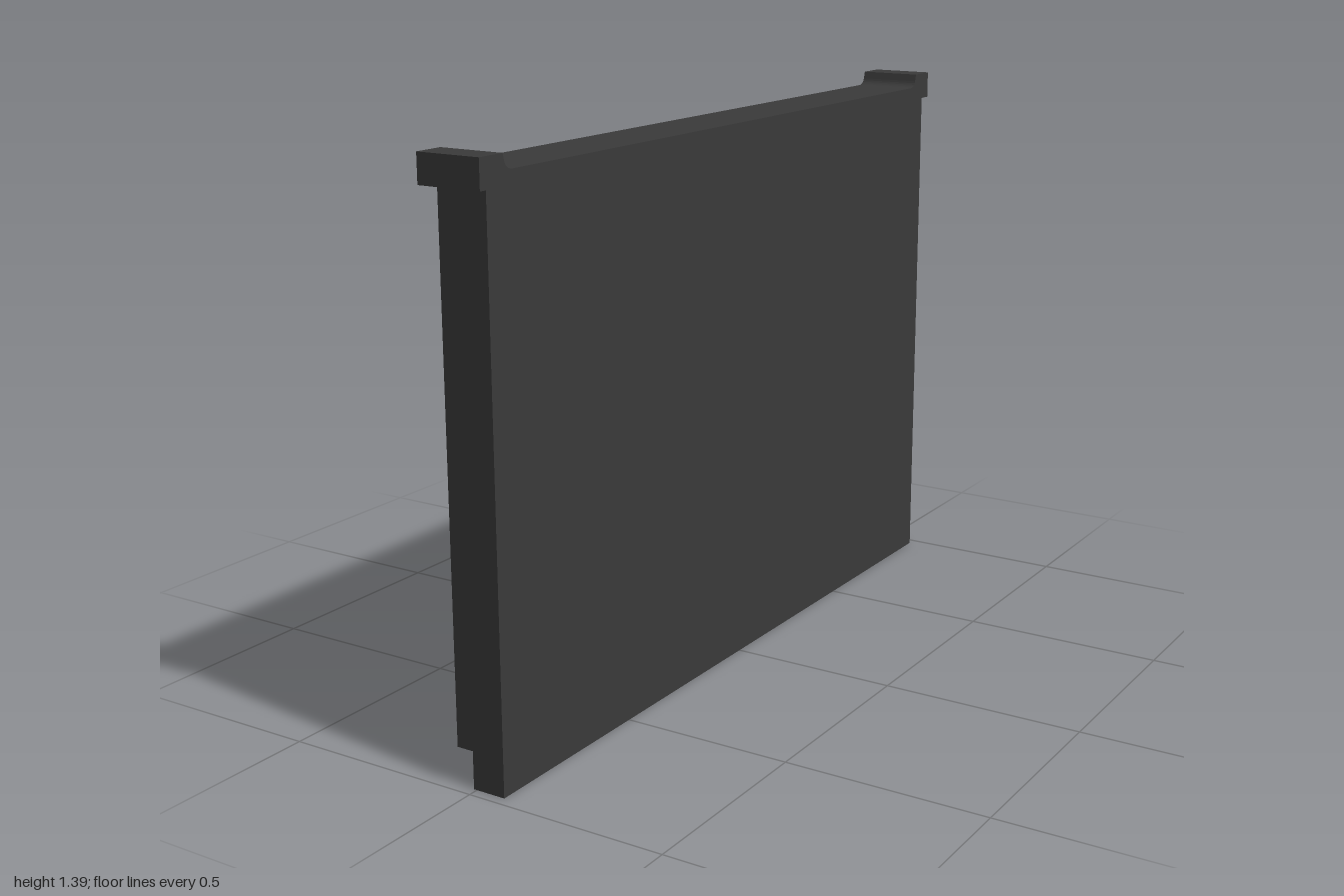
import * as THREE from 'three';

const mat = new THREE.MeshStandardMaterial({ color: 0x3a3a3a, flatShading: true });

export function createModel() {
  const root = new THREE.Group();
  root.name = 'wallCabinet';

  const add = (geo, name) => {
    const m = new THREE.Mesh(geo, mat);
    m.name = name;
    root.add(m);
    return m;
  };
  // Box given by its minimum and maximum on each axis
  const box = (name, x0, x1, y0, y1, z0, z1) =>
    add(new THREE.BoxGeometry(x1 - x0, y1 - y0, z1 - z0), name)
      .position.set((x0 + x1) / 2, (y0 + y1) / 2, (z0 + z1) / 2);
  // Profile in x/y, extruded along z and centred on z
  const plate = (name, shape, z, thick) => {
    const geo = new THREE.ExtrudeGeometry(shape, { depth: thick, bevelEnabled: false, curveSegments: 6 });
    add(geo, name).position.z = z - thick / 2;
  };

  const FRONT = -0.05, BACK = 0.075, WALL = 0.04, TOP = 1.325;

  // Back panel and recessed plinth
  box('backPanel', WALL, BACK, 0, TOP, -0.975, 0.975);
  box('plinth', -0.008, WALL, 0, 0.09, -0.955, 0.955);

  // Side panels with a toe notch
  const side = new THREE.Shape([
    [-0.008, 0], [BACK, 0], [BACK, TOP], [FRONT, TOP], [FRONT, 0.09], [-0.008, 0.09],
  ].map(([x, y]) => new THREE.Vector2(x, y)));
  for (const s of [-1, 1]) plate('sidePanel', side, s * 0.965, 0.02);

  // Centre divider, floor and the two main shelves
  box('centreDivider', FRONT, WALL, 0.09, TOP, -0.0125, 0.0125);
  box('floorBoard', FRONT, WALL, 0.09, 0.12, -0.955, 0.955);
  for (const y of [0.52, 0.93]) box('shelf', FRONT, WALL, y - 0.025, y, -0.955, 0.955);

  // Worktop with raised ends and small coves, profile in z/y
  const top = new THREE.Shape();
  top.moveTo(-1, 1.322);
  top.lineTo(1, 1.322);
  top.lineTo(1, 1.39);
  top.lineTo(0.925, 1.39);
  top.lineTo(0.92, 1.372);
  top.quadraticCurveTo(0.915, 1.355, 0.893, 1.355);
  top.lineTo(-0.893, 1.355);
  top.quadraticCurveTo(-0.915, 1.355, -0.92, 1.372);
  top.lineTo(-0.925, 1.39);
  top.lineTo(-1, 1.39);
  const topGeo = new THREE.ExtrudeGeometry(top, { depth: 0.16, bevelEnabled: false, curveSegments: 6 });
  topGeo.rotateY(-Math.PI / 2).translate(0.08, 0, 0);
  add(topGeo, 'worktop');

  // Notched racks: a spine on the wall with four teeth pointing out
  const rackShape = (y0) => {
    const s = new THREE.Shape();
    const pitch = 0.073, spine = 0.018, tip = -0.015;
    s.moveTo(WALL, y0);
    s.lineTo(spine, y0);
    for (let i = 0; i < 4; i++) {
      const y = y0 + 0.008 + i * pitch;
      s.lineTo(spine, y);
      s.quadraticCurveTo(spine, y + 0.016, tip, y + 0.018);
      s.lineTo(tip, y + 0.042);
      s.quadraticCurveTo(spine, y + 0.044, spine, y + 0.06);
    }
    s.lineTo(spine, y0 + 0.305);
    s.lineTo(WALL, y0 + 0.305);
    return s;
  };
  for (const y of [0.52, 0.93])
    for (const z of [-0.705, -0.295, 0.295, 0.705]) plate('notchedRack', rackShape(y), z, 0.025);

  // Lower bays: a stile in each half and narrow slats in the four columns
  for (const s of [-1, 1]) {
    box('lowerStile', -0.035, WALL, 0.12, 0.495, s * 0.484 - 0.0125, s * 0.484 + 0.0125);
    for (const c of [0.242, 0.726])
      for (let i = 0; i < 7; i++) {
        const y = 0.16 + i * 0.05;
        box('slat', -0.03, WALL, y - 0.01, y + 0.01, s * c - 0.2295, s * c + 0.2295);
      }
  }
  return root;
}
